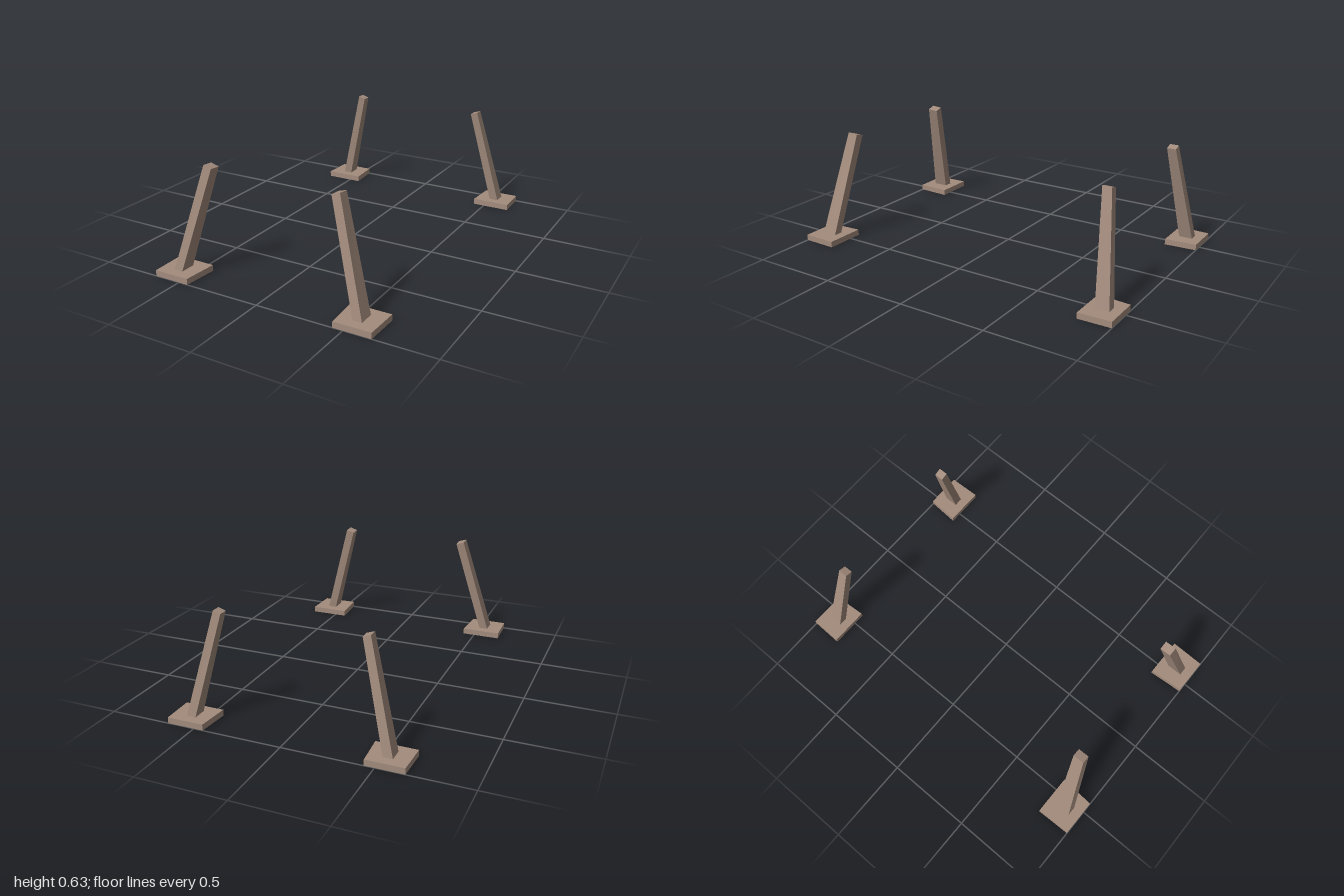
import * as THREE from 'three';

const wood = new THREE.MeshStandardMaterial({ color: 0xa38c7d, side: THREE.DoubleSide });
wood.name = 'dull brown';

const FOOT_H = 0.034;

// Corner loops for the +x side, counter-clockwise seen from above
const corners = {
  front: {
    foot: [[0.443, 1], [0.655, 1], [0.66, 0.8], [0.43, 0.8]],
    base: [[0.521, 0.944], [0.573, 0.944], [0.573, 0.855], [0.521, 0.855]],
    top: [[0.357, 0.612, 0.853], [0.404, 0.627, 0.853], [0.404, 0.622, 0.79], [0.357, 0.608, 0.79]],
  },
  back: {
    foot: [[0.433, -0.815], [0.66, -0.815], [0.655, -1], [0.446, -1]],
    base: [[0.521, -0.867], [0.573, -0.867], [0.573, -0.946], [0.521, -0.946]],
    top: [[0.383, 0.6, -0.81], [0.425, 0.614, -0.81], [0.425, 0.614, -0.863], [0.383, 0.6, -0.863]],
  },
};

const atHeight = (loop, y) => loop.map(([x, z]) => [x, y, z]);

// Joins successive four-cornered loops with flat faces, optionally closing the last
function loft(name, loops, side, cap) {
  const rings = side > 0 ? loops : loops.map(l => l.map(([x, y, z]) => [-x, y, z]).reverse());
  const pos = [];
  const quad = (a, b, c, d) => pos.push(...a, ...b, ...c, ...a, ...c, ...d);
  for (let r = 0; r < rings.length - 1; r++) {
    for (let i = 0; i < 4; i++) {
      const j = (i + 1) % 4;
      quad(rings[r][i], rings[r][j], rings[r + 1][j], rings[r + 1][i]);
    }
  }
  if (cap) quad(...rings[rings.length - 1]);
  const geometry = new THREE.BufferGeometry();
  geometry.setAttribute('position', new THREE.Float32BufferAttribute(pos, 3));
  geometry.computeVertexNormals();
  const mesh = new THREE.Mesh(geometry, wood);
  mesh.name = name;
  return mesh;
}

export function createModel() {
  const model = new THREE.Group();
  model.name = 'legs';
  for (const [end, { foot, base, top }] of Object.entries(corners)) {
    for (const side of [1, -1]) {
      const leg = new THREE.Group();
      leg.name = end + (side > 0 ? 'LeftLeg' : 'RightLeg');
      const socket = atHeight(base, FOOT_H);
      // Hollow foot, open underneath, with a hole where the post meets it
      leg.add(loft('footPlate', [atHeight(foot, 0), atHeight(foot, FOOT_H), socket], side, false));
      // Leaning hollow post, closed at its top
      leg.add(loft('post', [socket, top], side, true));
      model.add(leg);
    }
  }
  return model;
}
